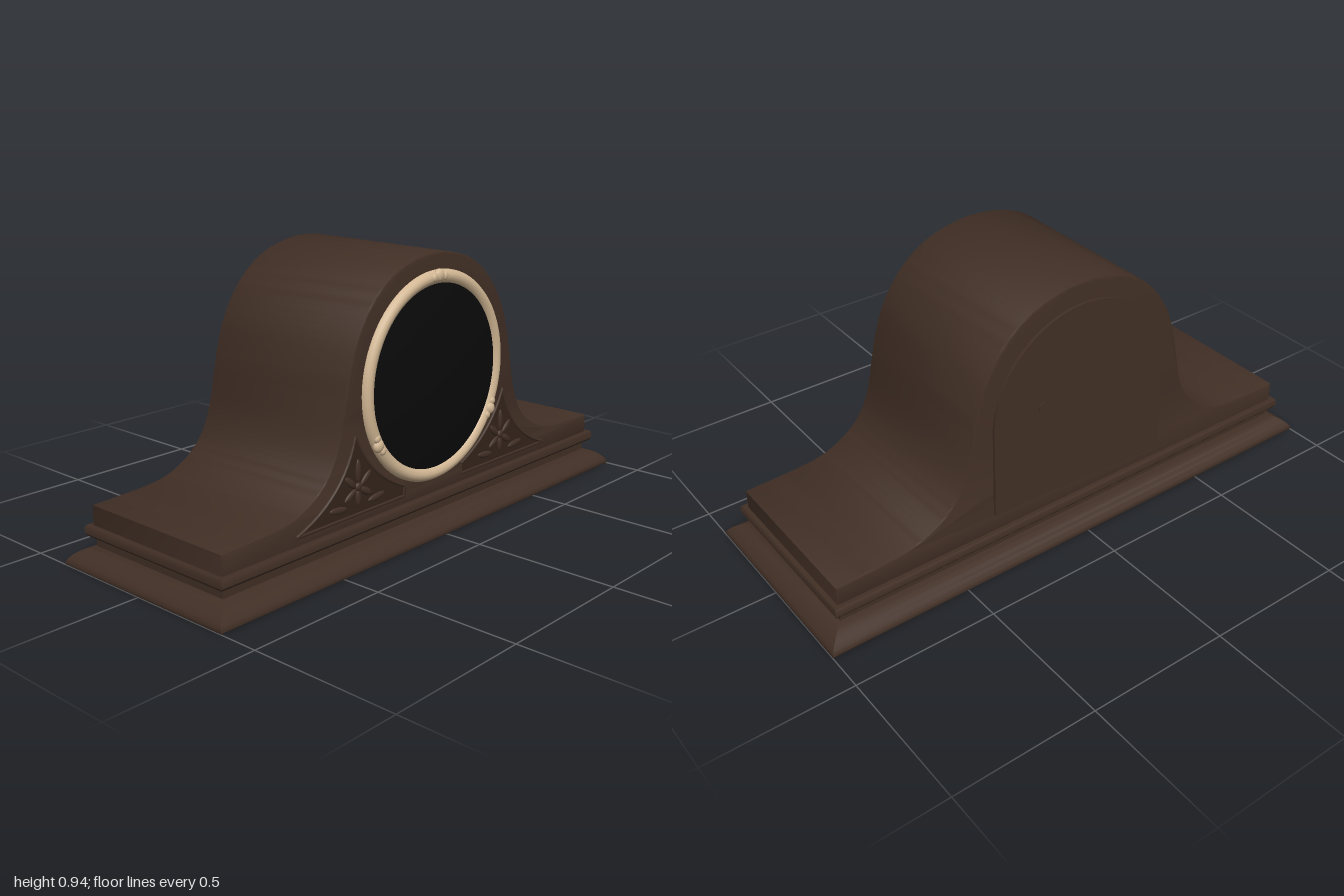
import * as THREE from 'three';
import { toCreasedNormals } from 'three/addons/utils/BufferGeometryUtils.js';

const mat = (name, color, extra = {}) => new THREE.MeshStandardMaterial({ name, color, ...extra });

export function createModel() {
  const wood = mat('walnut', 0x412f25);
  const panelWood = mat('dark walnut', 0x33251c);
  const brass = mat('pale brass', 0xd2b794);
  const black = mat('black glass', 0x0a0a0a);
  const model = new THREE.Group();
  model.name = 'mantelClock';

  const add = (name, geometry, material, parent = model) => {
    const mesh = new THREE.Mesh(geometry, material);
    mesh.name = name;
    parent.add(mesh);
    return mesh;
  };

  // Moulded plinth: rectangles stacked along a profile of [offset, y]
  const HX = 0.935, HZ = 0.3;
  const profile = [[0.063, 0], [0.065, 0.003], [0.065, 0.009], [0.058, 0.021], [0.045, 0.035],
    [0.028, 0.047], [0.01, 0.056], [-0.007, 0.06], [-0.007, 0.095], [0.012, 0.095], [0.018, 0.103],
    [0.018, 0.125], [0.014, 0.131], [-0.005, 0.131]];
  const corners = [[1, 1], [1, -1], [-1, -1], [-1, 1]];
  const pos = [], idx = [];
  profile.forEach(([o, y]) => corners.forEach(([sx, sz]) => pos.push(sx * (HX + o), y, sz * (HZ + o))));
  for (let i = 0; i < profile.length - 1; i++) {
    for (let j = 0; j < 4; j++) {
      const a = i * 4 + j, b = i * 4 + (j + 1) % 4;
      idx.push(a, b, b + 4, a, b + 4, a + 4);
    }
  }
  const t = (profile.length - 1) * 4;
  idx.push(0, 2, 1, 0, 3, 2, t, t + 1, t + 2, t, t + 2, t + 3);
  const plinth = new THREE.BufferGeometry();
  plinth.setAttribute('position', new THREE.Float32BufferAttribute(pos, 3));
  plinth.setIndex(idx);
  add('plinth', toCreasedNormals(plinth, 0.6), wood);

  // Humped case, extruded front to back with a fine bevel
  const half = [[0.935, 0.197], [0.8, 0.202], [0.7, 0.208], [0.62, 0.226], [0.54, 0.27], [0.485, 0.33],
    [0.45, 0.41], [0.425, 0.52], [0.405, 0.61], [0.365, 0.72], [0.295, 0.82], [0.205, 0.89], [0.1, 0.927]];
  const hump = [...half, [0, 0.938], ...half.slice().reverse().map(([x, y]) => [-x, y])];
  const curve = new THREE.SplineCurve(hump.map(([x, y]) => new THREE.Vector2(x, y)));
  const outline = new THREE.Shape([new THREE.Vector2(-HX, 0.125), new THREE.Vector2(HX, 0.125),
    ...curve.getPoints(110)]);
  const bevel = 0.007;
  const body = new THREE.ExtrudeGeometry(outline, { depth: 2 * (HZ - bevel), bevelEnabled: true,
    bevelSize: bevel, bevelThickness: bevel, bevelOffset: -bevel, bevelSegments: 2 });
  body.translate(0, 0, -HZ + bevel);
  add('case', toCreasedNormals(body, 0.6), wood);

  // Dial: rounded bezel, domed glass and three bosses
  const CY = 0.532;
  const dial = new THREE.Group();
  dial.name = 'dial';
  dial.position.set(0, CY, HZ);
  model.add(dial);
  const ring = [[0.351, -0.002], [0.351, 0.006], [0.345, 0.015], [0.336, 0.021], [0.326, 0.022],
    [0.315, 0.018], [0.307, 0.01], [0.304, 0.002]].map(([r, h]) => new THREE.Vector2(r, h));
  add('bezel', new THREE.LatheGeometry(ring, 96).rotateX(Math.PI / 2), brass, dial);
  const dome = [];
  for (let i = 0; i <= 10; i++) {
    const k = 1 - i / 10;
    dome.push(new THREE.Vector2(0.31 * k, 0.01 + 0.031 * (1 - k * k)));
  }
  add('glass', new THREE.LatheGeometry(dome, 72).rotateX(Math.PI / 2), black, dial);
  for (let i = 0; i < 3; i++) {
    const a = Math.PI / 2 + i * Math.PI * 2 / 3;
    const boss = add('bezelBoss', new THREE.SphereGeometry(0.022, 16, 12), brass, dial);
    boss.position.set(Math.cos(a) * 0.334, Math.sin(a) * 0.334, 0.014);
    boss.scale.z = 0.65;
    for (const s of [-1, 1]) {
      const leaf = add('bossLeaf', new THREE.SphereGeometry(0.014, 10, 8), brass, dial);
      leaf.position.set(Math.cos(a + s * 0.08) * 0.33, Math.sin(a + s * 0.08) * 0.33, 0.017);
      leaf.scale.z = 0.6;
    }
  }

  // Carved three-cornered panels beside the dial
  const edge = new THREE.Shape();
  edge.moveTo(0.15, 0.16);
  edge.lineTo(0.64, 0.16);
  edge.quadraticCurveTo(0.43, 0.23, 0.38, 0.415);
  edge.quadraticCurveTo(0.32, 0.27, 0.15, 0.195);
  edge.closePath();
  const rim = edge.getPoints(12).map(p => new THREE.Vector3(p.x, p.y, 0));
  const petals = [[0.37, 0.3, 0, 0.04], [0.335, 0.27, 0.85, 0.032], [0.405, 0.27, -0.85, 0.032],
    [0.37, 0.215, 0, 0.03], [0.335, 0.228, 2.1, 0.032], [0.405, 0.228, -2.1, 0.032],
    [0.285, 0.195, 1.45, 0.04], [0.46, 0.195, -1.45, 0.04]];
  for (const side of [1, -1]) {
    const panel = new THREE.Group();
    panel.name = side > 0 ? 'leftCarving' : 'rightCarving';
    panel.position.z = HZ;
    model.add(panel);
    const flip = p => new THREE.Vector3(p.x * side, p.y, 0);
    const plate = new THREE.Shape(rim.map(p => new THREE.Vector2(p.x * side, p.y)));
    add('carvingPanel', new THREE.ExtrudeGeometry(plate, { depth: 0.002, bevelEnabled: false }), panelWood, panel);
    for (let i = 0; i < rim.length; i++) {
      const a = flip(rim[i]), b = flip(rim[(i + 1) % rim.length]);
      if (a.distanceTo(b) < 1e-4) continue;
      const path = new THREE.LineCurve3(a, b);
      add('carvingRim', new THREE.TubeGeometry(path, 1, 0.006, 8), wood, panel);
    }
    for (const [x, y, turn, length] of petals) {
      const petal = add('petal', new THREE.SphereGeometry(1, 12, 8), wood, panel);
      petal.scale.set(0.012, length, 0.007);
      petal.position.set(x * side, y, 0.002);
      petal.rotation.z = turn * side;
    }
    const bud = add('bud', new THREE.SphereGeometry(0.015, 12, 8), wood, panel);
    bud.position.set(0.37 * side, 0.25, 0.002);
    bud.scale.z = 0.6;
  }

  // Arched back door with a small knob
  const arch = new THREE.Shape();
  arch.moveTo(-0.35, 0.198);
  arch.lineTo(0.35, 0.198);
  arch.lineTo(0.35, 0.515);
  arch.absarc(0, 0.515, 0.35, 0, Math.PI, false);
  arch.closePath();
  const door = new THREE.ExtrudeGeometry(arch, { depth: 0.012, bevelEnabled: false, curveSegments: 40 });
  door.translate(0, 0, -HZ - 0.01);
  add('backDoor', toCreasedNormals(door, 0.6), wood);
  const knob = add('doorKnob', new THREE.CylinderGeometry(0.018, 0.018, 0.008, 20).rotateX(Math.PI / 2), wood);
  knob.position.set(0.16, 0.545, -HZ - 0.01);

  return model;
}
